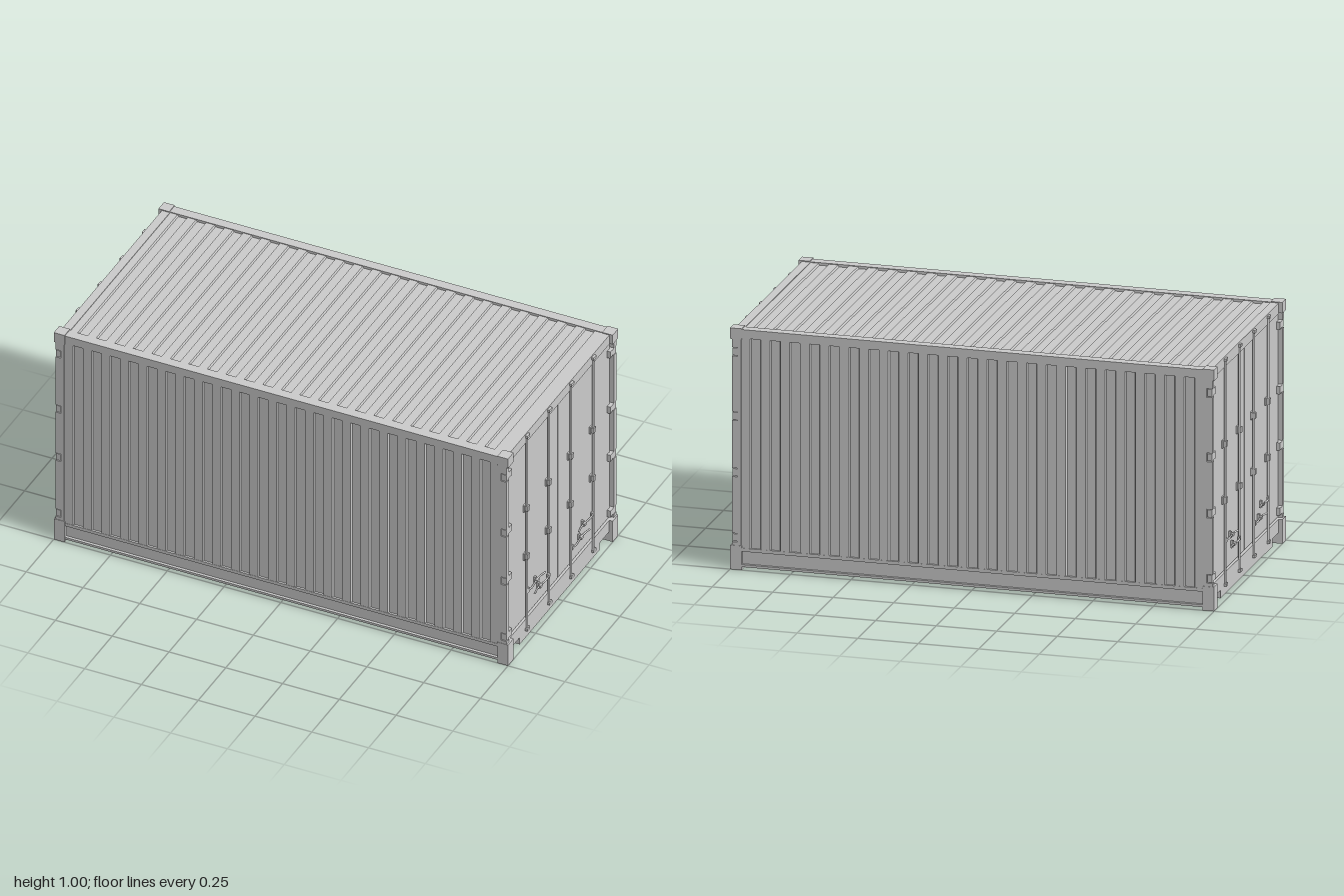
import * as THREE from 'three';

const grey = new THREE.MeshStandardMaterial({ color: 0xcccccc, flatShading: true });
const smooth = new THREE.MeshStandardMaterial({ color: 0xcccccc });

function add(parent, name, geometry, material = grey) {
  const mesh = new THREE.Mesh(geometry, material);
  mesh.name = name;
  parent.add(mesh);
  return mesh;
}

// Box given by its limits on each axis
function box(parent, name, x0, x1, y0, y1, z0, z1) {
  const g = new THREE.BoxGeometry(Math.abs(x1 - x0), Math.abs(y1 - y0), Math.abs(z1 - z0));
  g.translate((x0 + x1) / 2, (y0 + y1) / 2, (z0 + z1) / 2);
  return add(parent, name, g);
}

// Solid outline in x-y, extruded along z and centred on z = 0
function extrude(points, depth) {
  const shape = new THREE.Shape(points.map(([x, y]) => new THREE.Vector2(x, y)));
  const g = new THREE.ExtrudeGeometry(shape, { depth, bevelEnabled: false });
  return g.translate(0, 0, -depth / 2);
}

// Shallow trapezoid sheet running along x, ridges at y = 0
function corrugated(length, width, depth) {
  const period = 0.0815, half = length / 2, points = [[-half, -0.02], [half, -0.02], [half, 0]];
  const count = Math.floor(length / period) - 1;
  for (let i = count; i >= 0; i--) {
    const c = (i - count / 2) * period;
    points.push([c + 0.022, 0], [c + 0.018, -depth], [c - 0.018, -depth], [c - 0.022, 0]);
  }
  points.push([-half, 0]);
  return extrude(points, width);
}

// One bar, its keepers and its handle; dir is the way the handle points in z
function lockingBar(parent, z, handleY, dir, catchZ) {
  const bar = new THREE.Group();
  bar.name = 'lockingBar';
  parent.add(bar);
  const rod = new THREE.CylinderGeometry(0.005, 0.005, 0.94, 12);
  add(bar, 'rod', rod.translate(0.986, 0.515, z), smooth);
  for (const y of [0.052, 0.984]) {
    box(bar, 'cam', 0.975, 0.995, y - 0.006, y + 0.006, z - 0.012, z + 0.012);
  }
  for (const y of [0.402, 0.635]) {
    box(bar, 'guidePlate', 0.974, 0.982, y - 0.016, y + 0.016, z - 0.015, z + 0.015);
    box(bar, 'guideStrap', 0.98, 0.995, y - 0.012, y + 0.012, z - 0.009, z + 0.009);
  }
  // Bowed handle tapering towards its grip
  const path = new THREE.CatmullRomCurve3([
    [0.986, 0], [0.993, 0.025], [0.99, 0.07], [0.988, 0.11], [0.995, 0.15],
  ].map(([x, d]) => new THREE.Vector3(x, handleY, z + dir * d)));
  add(bar, 'handle', new THREE.TubeGeometry(path, 16, 0.004, 6), smooth);
  box(bar, 'handleHub', 0.983, 0.992, handleY - 0.009, handleY + 0.009, z, z + dir * 0.016);
  box(bar, 'catchPlate', 0.974, 0.987, handleY - 0.014, handleY + 0.014, catchZ - 0.005, catchZ + 0.005);
  box(bar, 'catchHook', 0.984, 0.996, handleY - 0.005, handleY + 0.006, catchZ - 0.01, catchZ + 0.01);
}

function hinge(parent, y, s) {
  const g = extrude([
    [0.497, -0.015], [0.497, 0.015], [0.478, 0.017], [0.47, 0.013], [0.447, 0.016],
    [0.447, -0.016], [0.47, -0.013], [0.478, -0.017],
  ].map(([z, h]) => [s * z, h]), 0.02);
  g.rotateY(-Math.PI / 2);
  add(parent, 'hinge', g.translate(0.981, y, 0));
}

// Whole door end, built facing +x
function doorEnd() {
  const end = new THREE.Group();
  end.name = 'doorEnd';
  const hingeYs = [0.132, 0.402, 0.635, 0.902];

  box(end, 'header', 0.95, 0.985, 0.952, 0.996, -0.455, 0.455);
  const sill = extrude([
    [-0.455, 0.1], [-0.455, 0.045], [-0.362, 0.045], [-0.362, 0.012],
    [0.362, 0.012], [0.362, 0.045], [0.455, 0.045], [0.455, 0.1],
  ], 0.025).rotateY(Math.PI / 2);
  add(end, 'sill', sill.translate(0.972, 0, 0));
  box(end, 'doorSeal', 0.945, 0.966, 0.09, 0.96, -0.48, 0.48);

  for (const s of [1, -1]) {
    // Corner castings, and the post with a notch at each hinge
    box(end, 'lowerCasting', 0.953, 1, 0, 0.1, s * 0.45, s * 0.5);
    box(end, 'upperCasting', 0.953, 1, 0.955, 1, s * 0.45, s * 0.5);
    const outline = [[0.955, 0.96], [0.955, 0.09], [0.993, 0.09]];
    for (const y of hingeYs) {
      outline.push([0.993, y - 0.018], [0.969, y - 0.018], [0.969, y + 0.018], [0.993, y + 0.018]);
    }
    outline.push([0.993, 0.96]);
    add(end, 'cornerPost', extrude(outline, 0.023).translate(0, 0, s * 0.487));

    box(end, 'door', 0.955, 0.976, 0.104, 0.948, s * 0.003, s * 0.471);
    for (const y of hingeYs) hinge(end, y, s);
    lockingBar(end, s * 0.3, 0.233, -s, s * 0.215);
    lockingBar(end, s * 0.1, 0.186, s, s * 0.185);
  }
  return end;
}

// Long side, built facing +z
function longSide() {
  const side = new THREE.Group();
  side.name = 'longSide';
  const wall = corrugated(1.92, 0.89, 0.008).rotateX(Math.PI / 2);
  add(side, 'sideWall', wall.translate(0, 0.525, 0.495));
  box(side, 'topRail', -0.96, 0.96, 0.96, 0.996, 0.455, 0.497);
  // Channel-shaped bottom rail
  const rail = extrude([
    [-0.455, 0.012], [-0.496, 0.012], [-0.496, 0.022], [-0.484, 0.022], [-0.484, 0.076],
    [-0.496, 0.076], [-0.496, 0.09], [-0.455, 0.09],
  ], 1.92).rotateY(Math.PI / 2);
  // The outline's -x becomes +z after the turn
  add(side, 'bottomRail', rail);
  return side;
}

export function createModel() {
  const model = new THREE.Group();
  model.name = 'shippingContainer';
  for (const angle of [0, Math.PI]) {
    const end = doorEnd(), side = longSide();
    end.rotation.y = side.rotation.y = angle;
    model.add(end, side);
  }
  add(model, 'roof', corrugated(1.94, 0.92, 0.008).translate(0, 0.993, 0));
  add(model, 'floor', corrugated(1.92, 0.93, 0.008).rotateX(Math.PI).translate(0, 0.05, 0));
  return model;
}
